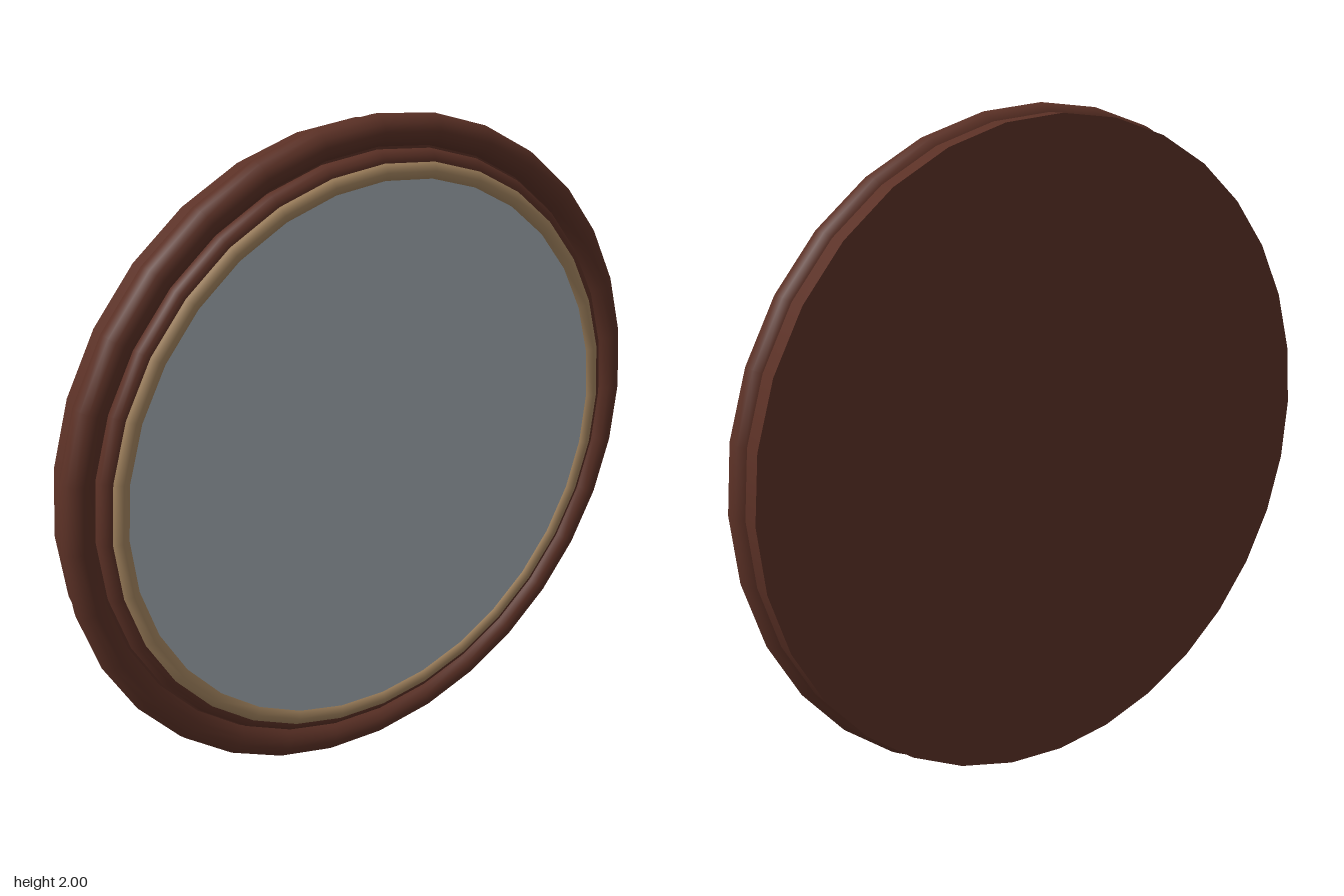
import * as THREE from 'three';

const SIDES = 32;

function material(name, color) {
  const m = new THREE.MeshStandardMaterial({ color });
  m.name = name;
  return m;
}

export function createModel() {
  const wood = material('dark wood', 0x5a3025);
  const gilt = material('gilt', 0xa3845f);
  const glass = material('mirror glass', 0xa4aeb5);

  const model = new THREE.Group();
  model.name = 'roundMirror';

  function add(name, geometry, mat, z) {
    const mesh = new THREE.Mesh(geometry, mat);
    mesh.name = name;
    mesh.position.set(0, 1, z);
    model.add(mesh);
  }
  const ring = (radius, tube, steps) => new THREE.TorusGeometry(radius, tube, steps, SIDES);
  const disc = (radius, depth) =>
    new THREE.CylinderGeometry(radius, radius, depth, SIDES).rotateX(Math.PI / 2);

  // Flat backing board, z -0.075 to 0.02
  add('backing', disc(0.975, 0.095), wood, -0.0275);

  // Rounded outer frame and the smaller moulding inside it
  add('outerFrame', ring(0.956, 0.044, 12), wood, 0.022);
  add('innerMoulding', ring(0.875, 0.031, 12), wood, 0.03);

  // Gilt trim around the glass
  add('giltTrim', ring(0.85, 0.03, 8), gilt, 0.045);

  // Mirror plate
  add('mirrorPlate', disc(0.832, 0.045), glass, 0.0405);

  return model;
}
